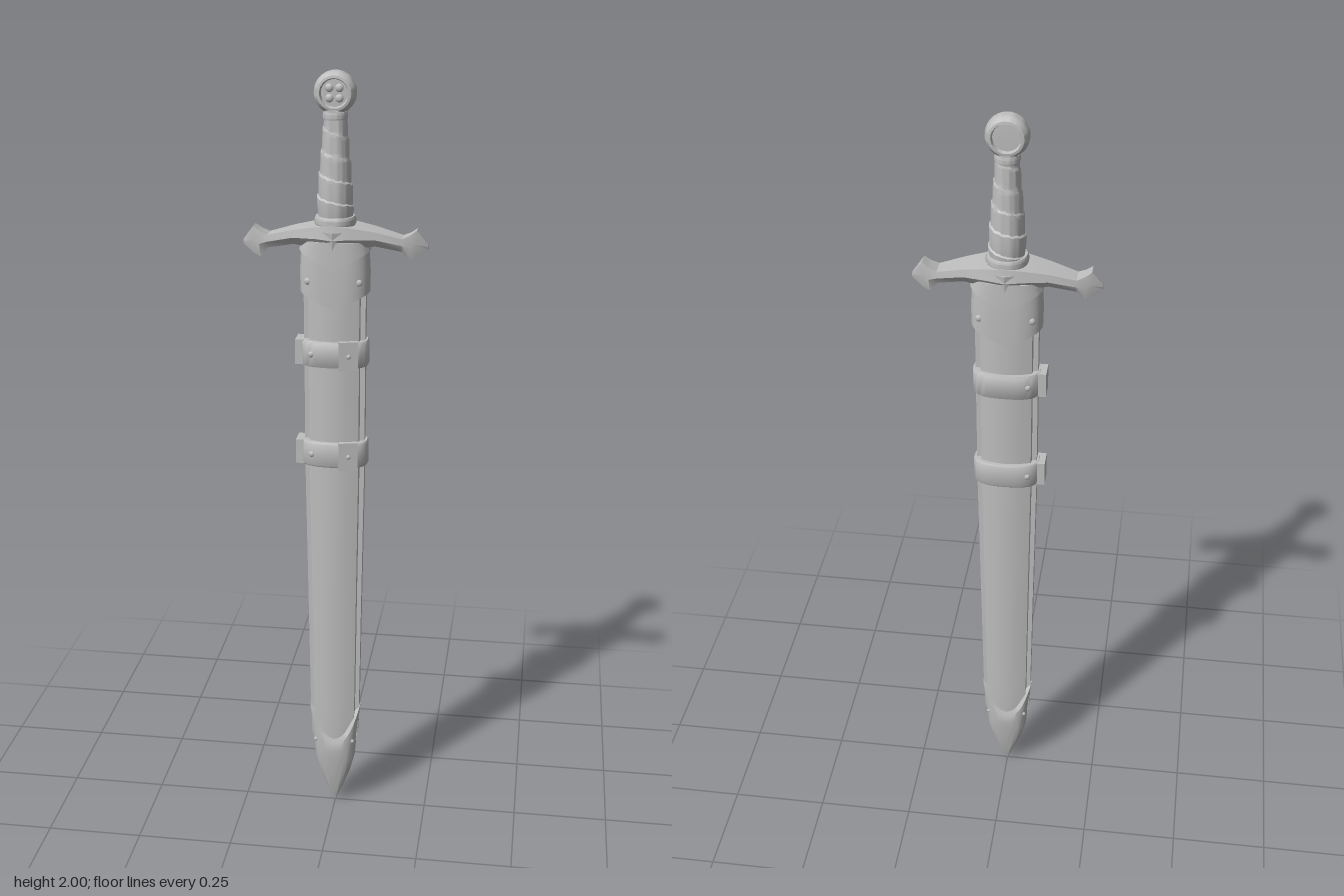
import * as THREE from 'three';
import { toCreasedNormals } from 'three/addons/utils/BufferGeometryUtils.js';

const steel = new THREE.MeshStandardMaterial({ color: 0xbfbfbf });
steel.name = 'grey steel';

// Skin a list of equal-length rings and close both ends.
function loft(rings, crease = 0.6) {
  const pos = [];
  const n = rings[0].length;
  const tri = (...pts) => pts.forEach((p) => pos.push(p.x, p.y, p.z));
  const middle = (ring) => ring.reduce((s, p) => s.add(p), new THREE.Vector3()).divideScalar(n);
  const first = rings[0], last = rings[rings.length - 1];
  const c0 = middle(first), c1 = middle(last);
  for (let j = 0; j < n; j++) {
    const k = (j + 1) % n;
    tri(c0, first[j], first[k]);
    tri(c1, last[k], last[j]);
    for (let i = 0; i < rings.length - 1; i++) {
      const a = rings[i], b = rings[i + 1];
      tri(a[j], b[j], a[k]);
      tri(b[j], b[k], a[k]);
    }
  }
  const geo = new THREE.BufferGeometry();
  geo.setAttribute('position', new THREE.Float32BufferAttribute(pos, 3));
  return toCreasedNormals(geo, crease);
}

// Flattened oval ring; lift raises the edge towards the sides.
function oval(y, hw, hz, lift = 0, power = 1) {
  const bend = (v, e) => Math.sign(v) * Math.abs(v) ** e;
  return Array.from({ length: 40 }, (_, i) => {
    const a = (i / 40) * Math.PI * 2;
    const u = bend(Math.cos(a), 0.75);
    return new THREE.Vector3(u * hw, y + lift * Math.abs(u) ** power, bend(Math.sin(a), 0.8) * hz);
  });
}

// Scabbard section: thin side seam with raised, ridged front and back panels.
const quarter = [[1, 0.3], [0.84, 0.32], [0.82, 0.65], [0.45, 0.88], [0, 1]];
const front = [...quarter, ...quarter.slice(0, 4).reverse().map(([x, z]) => [-x, z])];
const section = [...front, ...front.map(([x, z]) => [-x, -z])];
const bodyRing = ([y, hw, hz]) => section.map(([x, z]) => new THREE.Vector3(x * hw, y, z * hz));

export function createModel() {
  const model = new THREE.Group();
  model.name = 'sheathedSword';
  const add = (name, geo, x = 0, y = 0, z = 0) => {
    const mesh = new THREE.Mesh(geo, steel);
    mesh.name = name;
    mesh.position.set(x, y, z);
    model.add(mesh);
    return mesh;
  };
  const rivet = (name, x, y, z, r = 0.008) =>
    add(name, new THREE.SphereGeometry(r, 12, 8), x, y, z).scale.set(1, 1, 0.6);

  // Scabbard body
  add('scabbard', loft([
    [0.15, 0.046, 0.026], [0.22, 0.062, 0.03], [0.3, 0.066, 0.031], [0.6, 0.07, 0.036],
    [1.0, 0.076, 0.038], [1.4, 0.077, 0.041], [1.58, 0.078, 0.043],
  ].map(bodyRing), 0.35));

  // Pointed metal tip with a rounded notch at front and back
  add('scabbardTip', loft([
    oval(0, 0.001, 0.001), oval(0.05, 0.022, 0.015), oval(0.1, 0.041, 0.025),
    oval(0.15, 0.054, 0.033), oval(0.175, 0.06, 0.036, 0.05, 2.5), oval(0.2, 0.069, 0.036, 0.11, 2.5),
  ], 0.7));

  // Throat fitting with pointed lower edges
  add('throat', loft([oval(1.43, 0.086, 0.048, 0.04), oval(1.52, 0.087, 0.05), oval(1.59, 0.083, 0.05)]));
  add('throatCollar', loft([oval(1.53, 0.088, 0.055, 0.045), oval(1.6, 0.08, 0.054)]));

  // Belt loops with buckle plates and a side lug
  for (const y of [1.315, 1.05]) {
    add('beltLoop', loft([
      oval(y - 0.033, 0.082, 0.046), oval(y - 0.028, 0.085, 0.049),
      oval(y + 0.028, 0.085, 0.049), oval(y + 0.033, 0.082, 0.046),
    ]));
    add('beltLug', new THREE.BoxGeometry(0.03, 0.064, 0.05), -0.083, y, 0);
    const plate = add('bucklePlate', new THREE.BoxGeometry(0.048, 0.074, 0.012), 0.038, y, 0.045);
    plate.rotation.y = 0.25;
    rivet('buckleRivet', 0.04, y, 0.051, 0.006);
    for (const s of [-1, 1]) rivet('beltRivet', -0.055, y, s * 0.041);
  }

  // Rivets on the throat and tip
  for (const sx of [-1, 1]) for (const sz of [-1, 1]) {
    rivet('throatRivet', sx * 0.063, 1.5, sz * 0.038, 0.009);
    rivet('tipRivet', sx * 0.05, 0.205, sz * 0.025, 0.006);
  }

  // Crossguard: half stations [x, bottom, top, half depth], mirrored
  const half = [
    [0, 1.57, 1.64, 0.058], [0.04, 1.58, 1.636, 0.052], [0.1, 1.588, 1.625, 0.038],
    [0.165, 1.575, 1.608, 0.025], [0.185, 1.552, 1.617, 0.021], [0.2, 1.56, 1.628, 0.018],
    [0.227, 1.58, 1.592, 0.006],
  ];
  const stations = [...half.slice(1).reverse().map(([x, ...r]) => [-x, ...r]), ...half];
  add('crossguard', loft(stations.map(([x, b, t, d]) => [
    [b, d * 0.6], [(b + t) / 2, d], [t, d * 0.92], [t, -d * 0.92], [(b + t) / 2, -d], [b, -d * 0.6],
  ].map(([y, z]) => new THREE.Vector3(x, y, z))), 0.4));

  // Small pointed tongues under the guard
  for (const s of [-1, 1]) {
    const tongue = new THREE.ConeGeometry(0.035, 0.09, 4);
    tongue.rotateX(Math.PI);
    add('guardTongue', toCreasedNormals(tongue, 0.3), 0, 1.58, s * 0.048).scale.z = 0.35;
  }

  // Grip with a spiral wrap
  const gripProfile = new THREE.SplineCurve([
    [0.042, 1.64], [0.044, 1.69], [0.038, 1.77], [0.031, 1.85], [0.027, 1.91],
  ].map(([r, y]) => new THREE.Vector2(r, y)));
  const grip = new THREE.LatheGeometry(gripProfile.getPoints(72), 36);
  const p = grip.attributes.position;
  for (let i = 0; i < p.count; i++) {
    const turn = (p.getY(i) - 1.64) / 0.054 + Math.atan2(p.getX(i), p.getZ(i)) / (2 * Math.PI);
    const f = 0.94 + 0.1 * (turn - Math.floor(turn));
    p.setX(i, p.getX(i) * f);
    p.setZ(i, p.getZ(i) * f);
  }
  add('grip', toCreasedNormals(grip, 0.7));

  // Collars at both ends of the grip
  const ring = (r, h) => toCreasedNormals(new THREE.LatheGeometry([
    [0, -h], [r * 0.93, -h], [r, -h * 0.4], [r, h * 0.4], [r * 0.93, h], [0, h],
  ].map(([x, y]) => new THREE.Vector2(x, y)), 32), 0.6);
  add('lowerCollar', ring(0.051, 0.012), 0, 1.645, 0);
  add('upperCollar', ring(0.03, 0.01), 0, 1.895, 0);

  // Disc pommel with recessed faces
  const rim = [[0, 0.018], [0.032, 0.017], [0.035, 0.026], [0.041, 0.025], [0.048, 0.016], [0.051, 0.006]];
  const outline = [...rim.map(([r, h]) => [r, -h]), ...rim.slice().reverse()];
  const pommel = new THREE.LatheGeometry(outline.map(([r, h]) => new THREE.Vector2(r, h)), 40);
  pommel.rotateX(Math.PI / 2);
  add('pommel', toCreasedNormals(pommel, 0.7), 0, 1.949, 0);

  // Raised petals on the front face of the pommel
  for (let i = 0; i < 4; i++) {
    const a = Math.PI / 4 + (i * Math.PI) / 2;
    rivet('pommelPetal', Math.cos(a) * 0.017, 1.949 + Math.sin(a) * 0.017, 0.017, 0.01);
  }
  return model;
}
